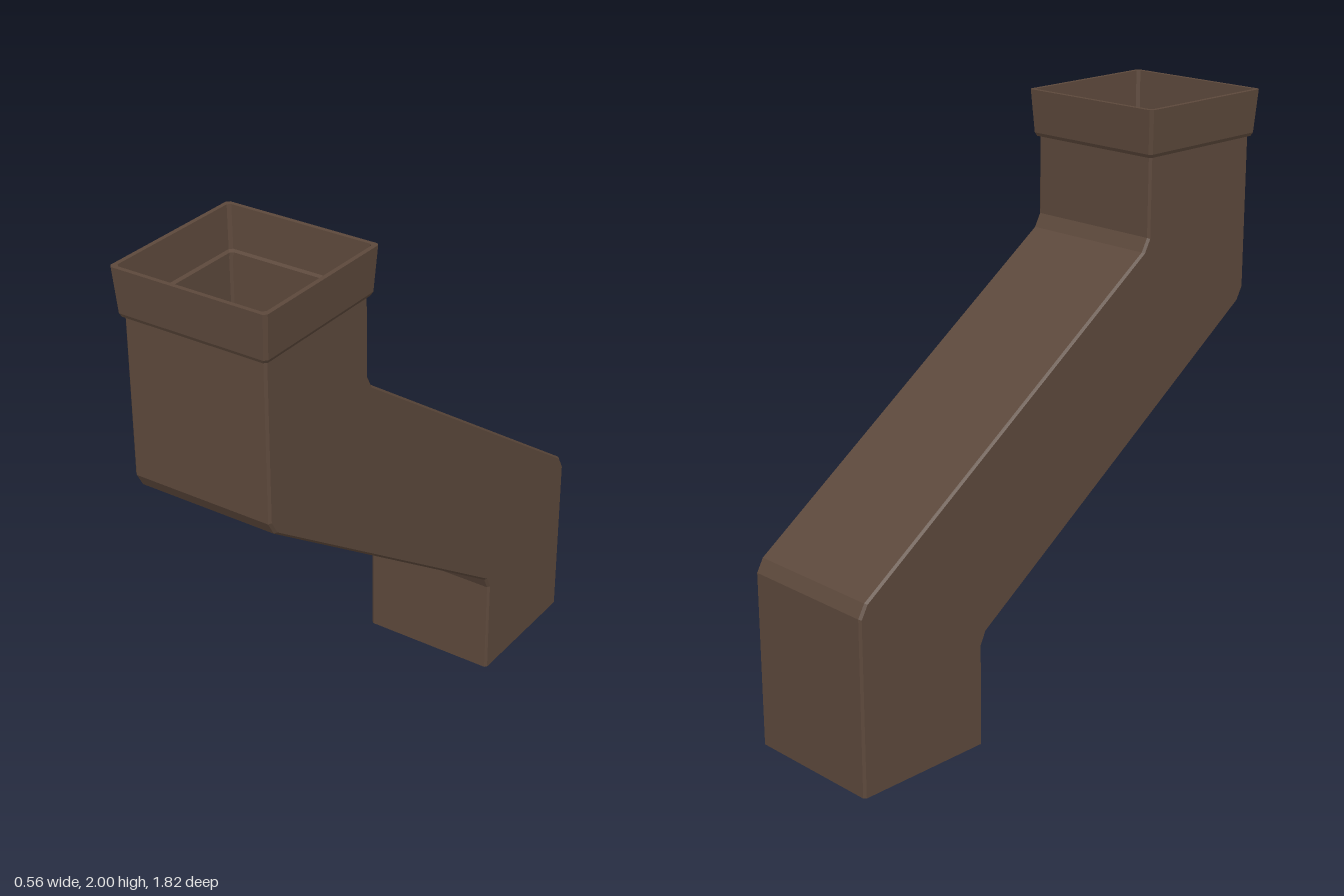
import * as THREE from 'three';

// Rectangular cross-section with small cut corners.
// w: half width; front and back edges given as [z, y].
function ring(w, front, back, cut) {
  const depth = Math.hypot(front[0] - back[0], front[1] - back[1]);
  const t = cut / depth;
  const at = (x, k) => new THREE.Vector3(
    x,
    front[1] + (back[1] - front[1]) * k,
    front[0] + (back[0] - front[0]) * k
  );
  return [
    at(-w + cut, 0), at(w - cut, 0), at(w, t), at(w, 1 - t),
    at(w - cut, 1), at(-w + cut, 1), at(-w, 1 - t), at(-w, t)
  ];
}

// Flat-faced skin through a list of rings, open at both ends.
function loft(rings) {
  const pos = [];
  for (let i = 0; i < rings.length - 1; i++) {
    const n = rings[i].length;
    for (let j = 0; j < n; j++) {
      const k = (j + 1) % n;
      const a = rings[i][j], b = rings[i][k];
      const c = rings[i + 1][k], d = rings[i + 1][j];
      for (const p of [a, b, c, a, c, d]) pos.push(p.x, p.y, p.z);
    }
  }
  const geo = new THREE.BufferGeometry();
  geo.setAttribute('position', new THREE.Float32BufferAttribute(pos, 3));
  geo.computeVertexNormals();
  return geo;
}

export function createModel() {
  const group = new THREE.Group();
  group.name = 'offsetDownpipe';
  const brown = new THREE.MeshStandardMaterial({ color: 0x5c483b, side: THREE.DoubleSide });
  brown.name = 'brown';

  // Square pipe with two bends: front edge and back edge of each section
  const sections = [
    [[-0.392, 0], [-0.905, 0]],
    [[-0.392, 0.355], [-0.905, 0.615]],
    [[-0.37, 0.4], [-0.88, 0.66]],
    [[0.86, 1.26], [0.355, 1.525]],
    [[0.885, 1.305], [0.38, 1.57]],
    [[0.885, 1.85], [0.38, 1.85]]
  ];
  const pipe = new THREE.Mesh(loft(sections.map(([f, b]) => ring(0.254, f, b, 0.008))), brown);
  pipe.name = 'pipe';
  group.add(pipe);

  // Flared socket: up the outside, over the rim, down the inside to a ledge
  const profile = [
    [0.25, 1.84], [0.262, 1.84], [0.268, 1.852], [0.278, 2],
    [0.263, 2], [0.257, 1.856], [0.247, 1.85], [0.247, 1.84], [0.25, 1.84]
  ];
  const zc = 0.632;
  const socket = new THREE.Mesh(
    loft(profile.map(([r, y]) => ring(r, [zc + r, y], [zc - r, y], 0.01))), brown);
  socket.name = 'socket';
  group.add(socket);

  return group;
}
